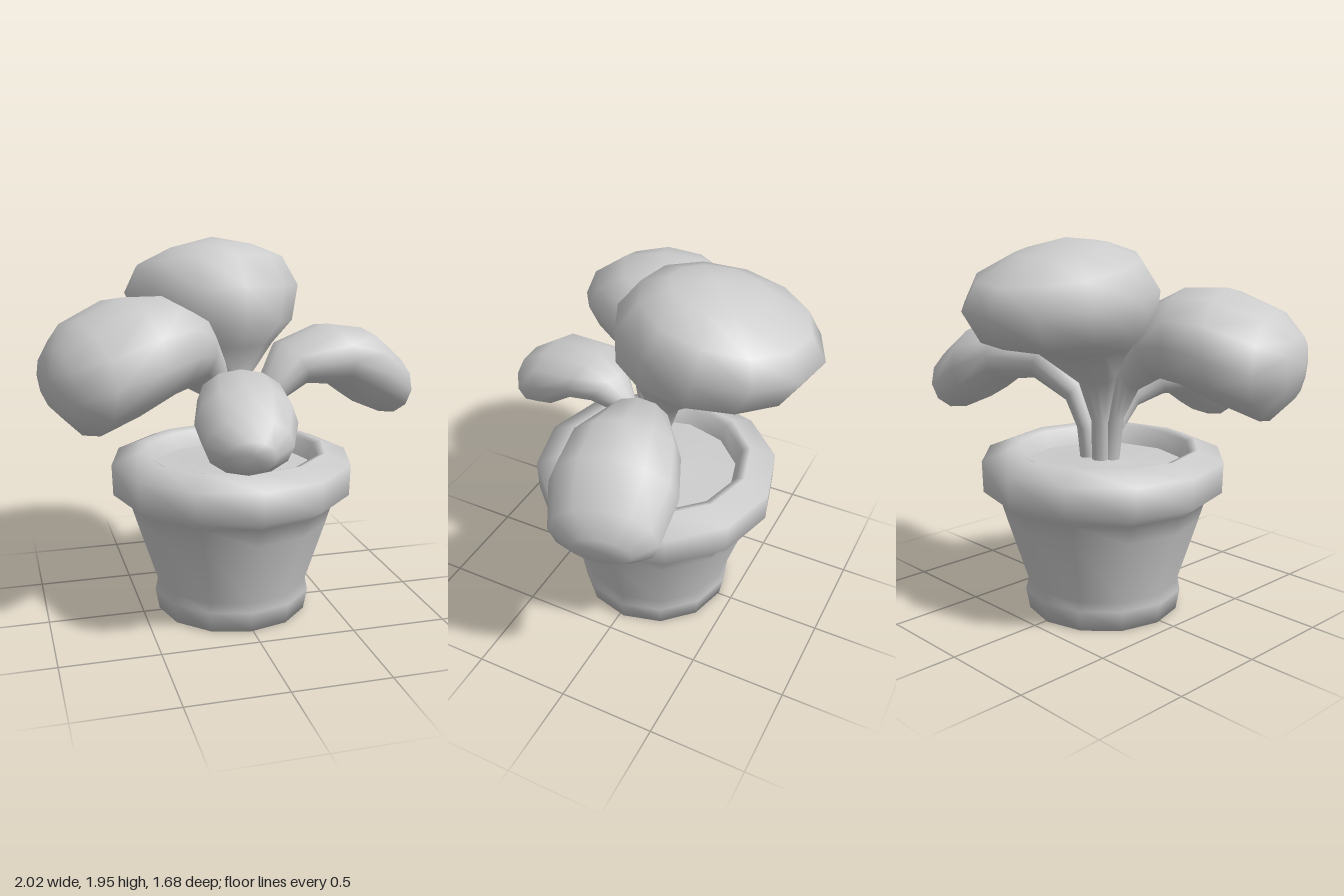
import * as THREE from 'three';

const SIDES = 12;
// Leaf width from neck to end, as shares of the widest point
const SWELL = [0.25, 0.57, 0.89, 1, 0.85, 0.48];
const STEM_RADIUS = 0.05;

// Loft a stem and its leaf along a horizontal heading. Each section is
// [inner reach, inner y, outer reach, outer y]; tip is [reach, y].
function leafGeometry({ dir, root, width, sections, tip }) {
  const at = (reach, y) => new THREE.Vector3(dir[0] * reach, y, dir[1] * reach);
  const side = at(1, 0).normalize().cross(new THREE.Vector3(0, 1, 0));

  // The stem rises from the soil and bends towards the neck of the leaf
  const [r1, y1, r2, y2] = sections[0];
  const stem = [0, 0.5].map((t) => {
    const reach = THREE.MathUtils.lerp(root, (r1 + r2) / 2, t * t);
    const y = THREE.MathUtils.lerp(0.76, (y1 + y2) / 2, t);
    return [reach - STEM_RADIUS, y, reach + STEM_RADIUS, y];
  });
  const rings = [...stem, ...sections];

  const pos = [], index = [];
  rings.forEach(([ra, ya, rb, yb], i) => {
    const inner = at(ra, ya), outer = at(rb, yb);
    const centre = inner.clone().lerp(outer, 0.5);
    const u = inner.sub(centre);
    const w = i < stem.length ? STEM_RADIUS : width * SWELL[i - stem.length];
    for (let j = 0; j < SIDES; j++) {
      const t = (j / SIDES) * Math.PI * 2;
      const p = centre.clone().addScaledVector(u, Math.cos(t)).addScaledVector(side, w * Math.sin(t));
      pos.push(...p.toArray());

      // Quads to the next ring, or a fan to the tip
      const a = i * SIDES + j, b = i * SIDES + ((j + 1) % SIDES);
      if (i < rings.length - 1) index.push(a, b, a + SIDES, b, b + SIDES, a + SIDES);
      else index.push(a, b, rings.length * SIDES);
    }
  });
  pos.push(...at(...tip).toArray());

  const g = new THREE.BufferGeometry();
  g.setAttribute('position', new THREE.Float32BufferAttribute(pos, 3));
  g.setIndex(index);
  g.computeVertexNormals();
  return g;
}

export function createModel() {
  const model = new THREE.Group();
  model.name = 'pottedPlant';
  const clay = new THREE.MeshStandardMaterial({ color: 0xcccccc });
  clay.name = 'plain grey';

  const add = (name, geometry) => {
    const mesh = new THREE.Mesh(geometry, clay);
    mesh.name = name;
    model.add(mesh);
  };
  const lathe = (points) =>
    new THREE.LatheGeometry(points.map(([r, y]) => new THREE.Vector2(r, y)), SIDES)
      .translate(-0.01, 0, -0.025);

  // Pot with foot, flared wall, heavy rounded rim and inner lip
  add('pot', lathe([
    [0, 0], [0.4, 0], [0.42, 0.11], [0.4, 0.155], [0.51, 0.5], [0.54, 0.6],
    [0.63, 0.66], [0.635, 0.82], [0.5, 0.875], [0.455, 0.86], [0.42, 0.76],
  ]));
  // Soil, slightly raised around the stems
  add('soil', lathe([[0.44, 0.77], [0.2, 0.78], [0, 0.8]]));

  // Upright mushroom-shaped leaf at the back
  add('backLeaf', leafGeometry({
    dir: [-0.14, -1], root: 0.03, width: 0.46, tip: [0.3, 1.945],
    sections: [
      [-0.04, 1.28, 0.15, 1.2], [-0.1, 1.42, 0.42, 1.39], [-0.17, 1.54, 0.74, 1.46],
      [-0.17, 1.73, 0.84, 1.61], [-0.05, 1.88, 0.765, 1.74], [0.09, 1.925, 0.57, 1.86],
    ],
  }));
  // Broad leaf leaning to the model's right
  add('rightLeaf', leafGeometry({
    dir: [-1, 0.38], root: 0.02, width: 0.43, tip: [0.97, 1.36],
    sections: [
      [0.08, 1.36, 0.17, 1.17], [0.22, 1.6, 0.3, 1.25], [0.4, 1.7, 0.45, 1.23],
      [0.6, 1.71, 0.65, 1.15], [0.83, 1.62, 0.82, 1.08], [0.94, 1.5, 0.93, 1.2],
    ],
  }));
  // Drooping leaf on the model's left
  add('leftLeaf', leafGeometry({
    dir: [1, -0.25], root: 0.09, width: 0.3, tip: [0.99, 1.1],
    sections: [
      [0.13, 1.17, 0.22, 1.08], [0.27, 1.41, 0.385, 1.18], [0.55, 1.487, 0.57, 1.16],
      [0.77, 1.45, 0.73, 1.04], [0.95, 1.3, 0.91, 0.96], [0.995, 1.17, 0.95, 0.99],
    ],
  }));
  // Small low leaf at the front
  add('frontLeaf', leafGeometry({
    dir: [-0.17, 1], root: 0.01, width: 0.24, tip: [0.845, 1.08],
    sections: [
      [0.13, 1.16, 0.19, 1.05], [0.21, 1.27, 0.33, 1.1], [0.33, 1.36, 0.44, 1.09],
      [0.61, 1.34, 0.58, 0.98], [0.77, 1.23, 0.69, 0.94], [0.835, 1.14, 0.79, 0.98],
    ],
  }));
  return model;
}
